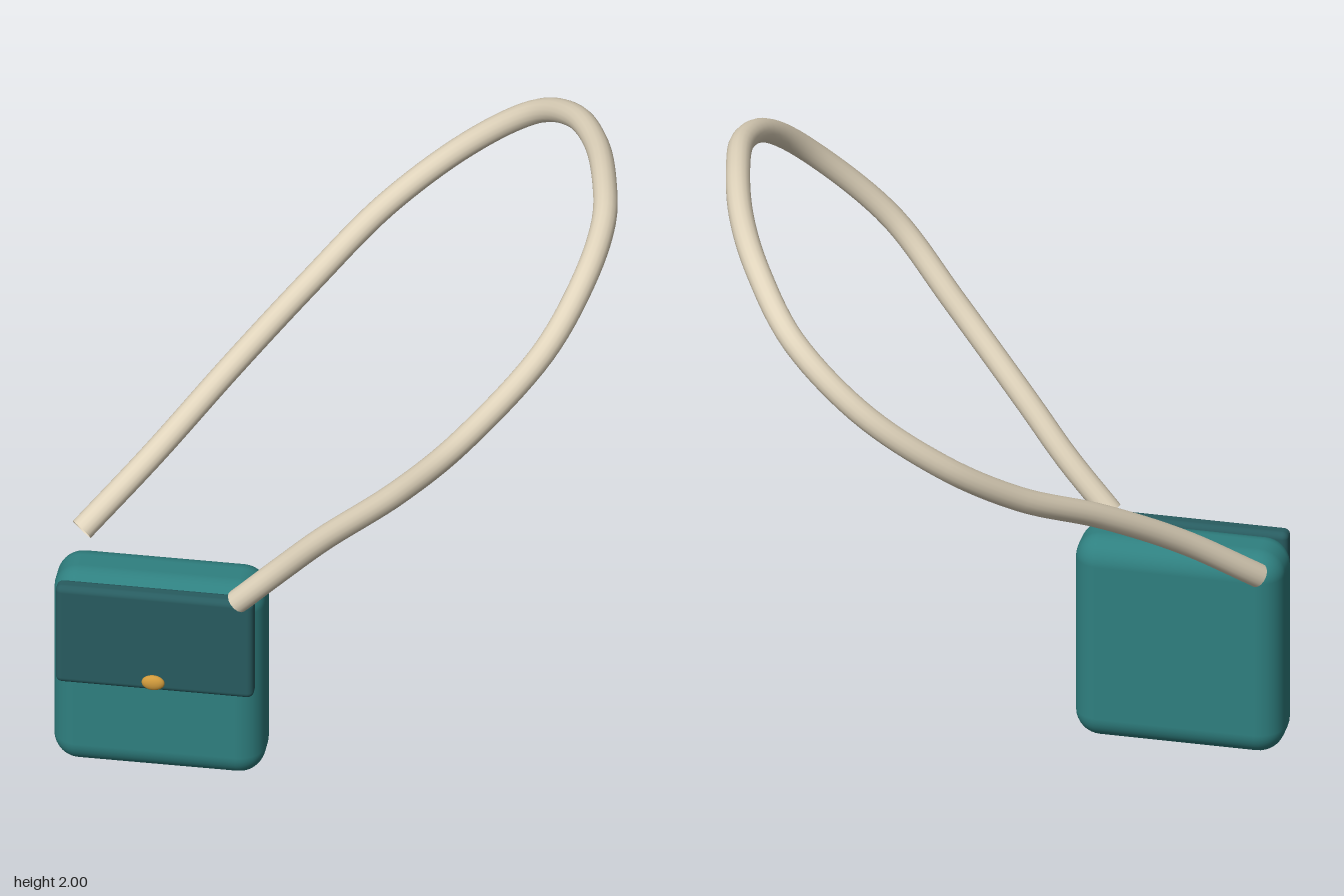
import * as THREE from 'three';
import { RoundedBoxGeometry } from 'three/addons/geometries/RoundedBoxGeometry.js';

function addPart(group, name, geometry, color, position = [0, 0, 0], side = THREE.FrontSide) {
  const mesh = new THREE.Mesh(geometry, new THREE.MeshStandardMaterial({ color, side }));
  mesh.name = name;
  mesh.position.set(...position);
  group.add(mesh);
  return mesh;
}

export function createModel() {
  const group = new THREE.Group();
  group.name = 'shoulderBag';

  // Soft-cornered pouch
  addPart(group, 'bagBody', new RoundedBoxGeometry(0.64, 0.675, 0.214, 5, 0.08), 0x2f8080, [-0.52, 0.3375, 0.355]);

  // Front flap and its clasp
  addPart(group, 'flap', new RoundedBoxGeometry(0.6, 0.343, 0.056, 4, 0.02), 0x285c60, [-0.52, 0.494, 0.475]);
  const clasp = addPart(group, 'clasp', new THREE.SphereGeometry(1, 24, 16), 0xd09a3c, [-0.52, 0.365, 0.519]);
  clasp.scale.set(0.035, 0.025, 0.015);

  // Long looping strap, swept along a smooth path from back end to front end
  const path = new THREE.CatmullRomCurve3([
    [-0.79, 0.665, 0.18], [-0.6, 0.845, 0.01], [-0.4, 1.03, -0.22], [-0.2, 1.195, -0.465],
    [0, 1.375, -0.64], [0.235, 1.57, -0.712], [0.45, 1.75, -0.65], [0.6, 1.873, -0.465],
    [0.7, 1.932, -0.245], [0.765, 1.96, 0], [0.795, 1.945, 0.205], [0.77, 1.875, 0.41],
    [0.675, 1.72, 0.59], [0.45, 1.46, 0.708], [0.25, 1.225, 0.662], [0, 0.96, 0.56],
    [-0.13, 0.812, 0.513], [-0.27, 0.66, 0.485],
  ].map((p) => new THREE.Vector3(...p)));
  addPart(group, 'strap', new THREE.TubeGeometry(path, 120, 0.037, 16), 0xe0d4bc, [0, 0, 0], THREE.DoubleSide);

  return group;
}
